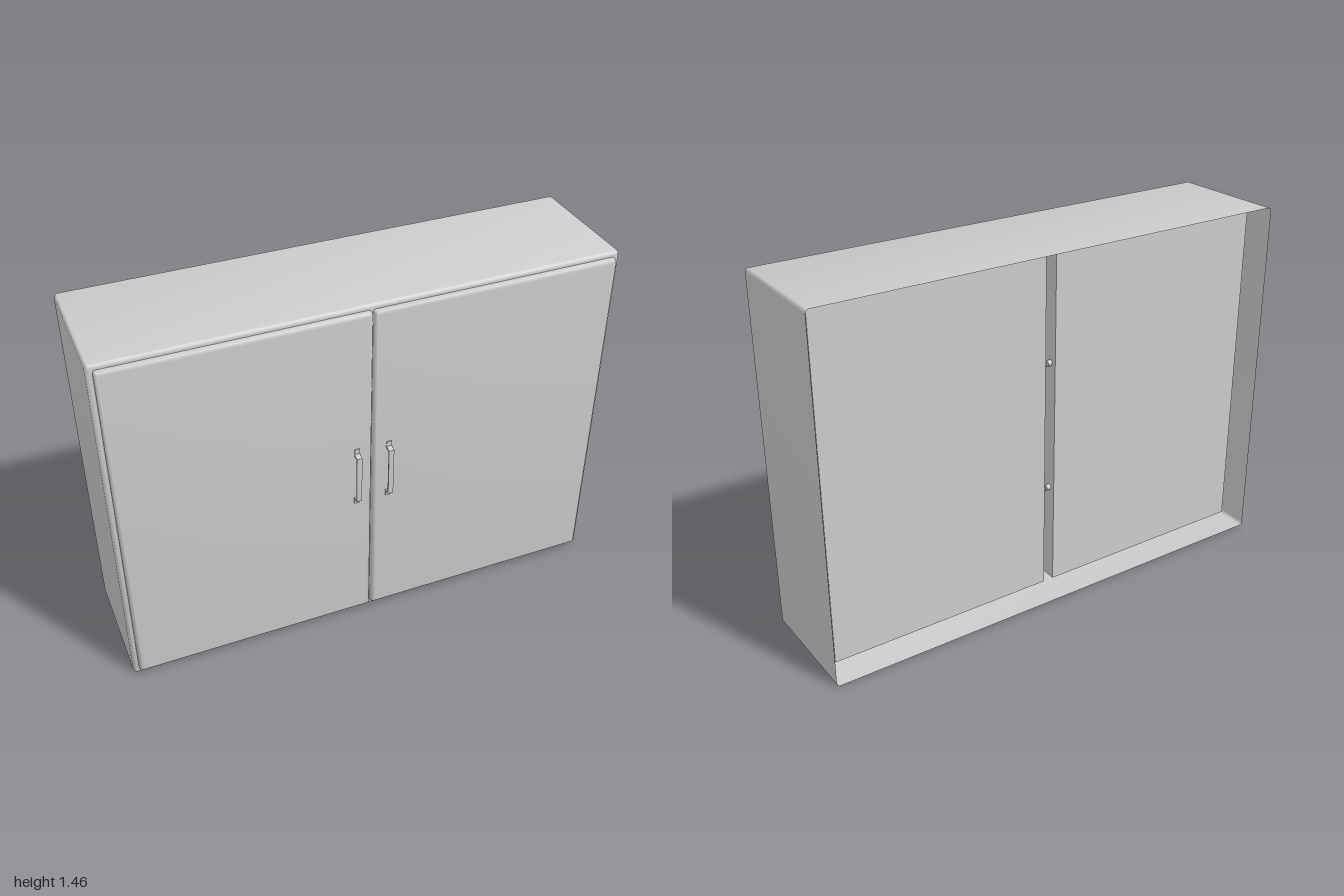
import * as THREE from 'three';
import { toCreasedNormals } from 'three/addons/utils/BufferGeometryUtils.js';

const grey = new THREE.MeshStandardMaterial({ color: 0xcccccc, side: THREE.DoubleSide });

// Rounded rectangle outline, counter-clockwise
function outline(x0, x1, y0, y1, r, steps = 5) {
  const corners = [[x1 - r, y0 + r, -1], [x1 - r, y1 - r, 0], [x0 + r, y1 - r, 1], [x0 + r, y0 + r, 2]];
  const points = [];
  for (const [cx, cy, quarter] of corners) {
    for (let i = 0; i <= steps; i++) {
      const a = (quarter + i / steps) * Math.PI / 2;
      points.push([cx + r * Math.cos(a), cy + r * Math.sin(a)]);
    }
  }
  return points;
}

// Tray open at the back, with a rounded front edge and a flat front
function roundedTray(x0, x1, y0, y1, zBack, zFront, r, cornerR) {
  const sections = [[0, zBack]];
  for (let i = 0; i <= 5; i++) {
    const a = i / 5 * Math.PI / 2;
    sections.push([r * (1 - Math.cos(a)), zFront - r + r * Math.sin(a)]);
  }
  const position = [], index = [];
  let n = 0;
  for (const [inset, z] of sections) {
    const ring = outline(x0 + inset, x1 - inset, y0 + inset, y1 - inset, Math.max(cornerR - inset, 0.002));
    n = ring.length;
    for (const [x, y] of ring) position.push(x, y, z);
  }
  for (let s = 0; s < sections.length - 1; s++) {
    for (let i = 0; i < n; i++) {
      const a = s * n + i, b = s * n + (i + 1) % n;
      index.push(a, b, b + n, a, b + n, a + n);
    }
  }
  // Flat front fan
  const last = (sections.length - 1) * n, centre = position.length / 3;
  position.push((x0 + x1) / 2, (y0 + y1) / 2, zFront);
  for (let i = 0; i < n; i++) index.push(last + i, last + (i + 1) % n, centre);
  const geometry = new THREE.BufferGeometry();
  geometry.setAttribute('position', new THREE.Float32BufferAttribute(position, 3));
  geometry.setIndex(index);
  return toCreasedNormals(geometry, 0.6);
}

// Bent strap handle: side profile as (z, y) pairs, mirrored top to bottom
function handleGeometry(width) {
  const half = [[0.243, 0.13], [0.249, 0.13], [0.249, 0.109], [0.273, 0.103]];
  const inner = [[0.267, 0.098], [0.243, 0.103]];
  const flip = list => list.map(([z, y]) => [z, -y]).reverse();
  const profile = [...half, ...flip(half), ...flip(inner), ...inner];
  const shape = new THREE.Shape(profile.map(([z, y]) => new THREE.Vector2(z, y)));
  const geometry = new THREE.ExtrudeGeometry(shape, { depth: width, bevelEnabled: false });
  return geometry.rotateY(-Math.PI / 2).translate(width / 2, 0, 0);
}

export function createModel() {
  const model = new THREE.Group();
  const add = (name, geometry, x = 0, y = 0, z = 0) => {
    const mesh = new THREE.Mesh(geometry, grey);
    mesh.name = name;
    mesh.position.set(x, y, z);
    model.add(mesh);
    return mesh;
  };

  // Outer shell, open at the back
  add('carcass', roundedTray(-1, 1, 0, 1.455, -0.27, 0.222, 0.018, 0.015));

  for (const side of [-1, 1]) {
    const label = side > 0 ? 'left' : 'right';
    const [x0, x1] = side > 0 ? [0.003, 0.978] : [-0.978, -0.003];

    // Door and its pull
    add(label + 'Door', roundedTray(x0, x1, 0.027, 1.435, 0.215, 0.245, 0.015, 0.012));
    add(label + 'Handle', handleGeometry(0.021), side * 0.065, 0.73, 0);

    // Inner compartment, set in from the shell on every side
    add(label + 'Compartment', new THREE.BoxGeometry(0.938, 1.385, 0.38), side * 0.491, 0.7275, 0.01);

    // Shelf pegs through both walls of the compartment
    for (const y of [0.45, 0.985]) {
      for (const x of [0.016, 0.966]) {
        const peg = add(label + 'ShelfPeg', new THREE.CylinderGeometry(0.012, 0.012, 0.024, 10), side * x, y, -0.15);
        peg.rotation.z = Math.PI / 2;
      }
    }
  }
  return model;
}
